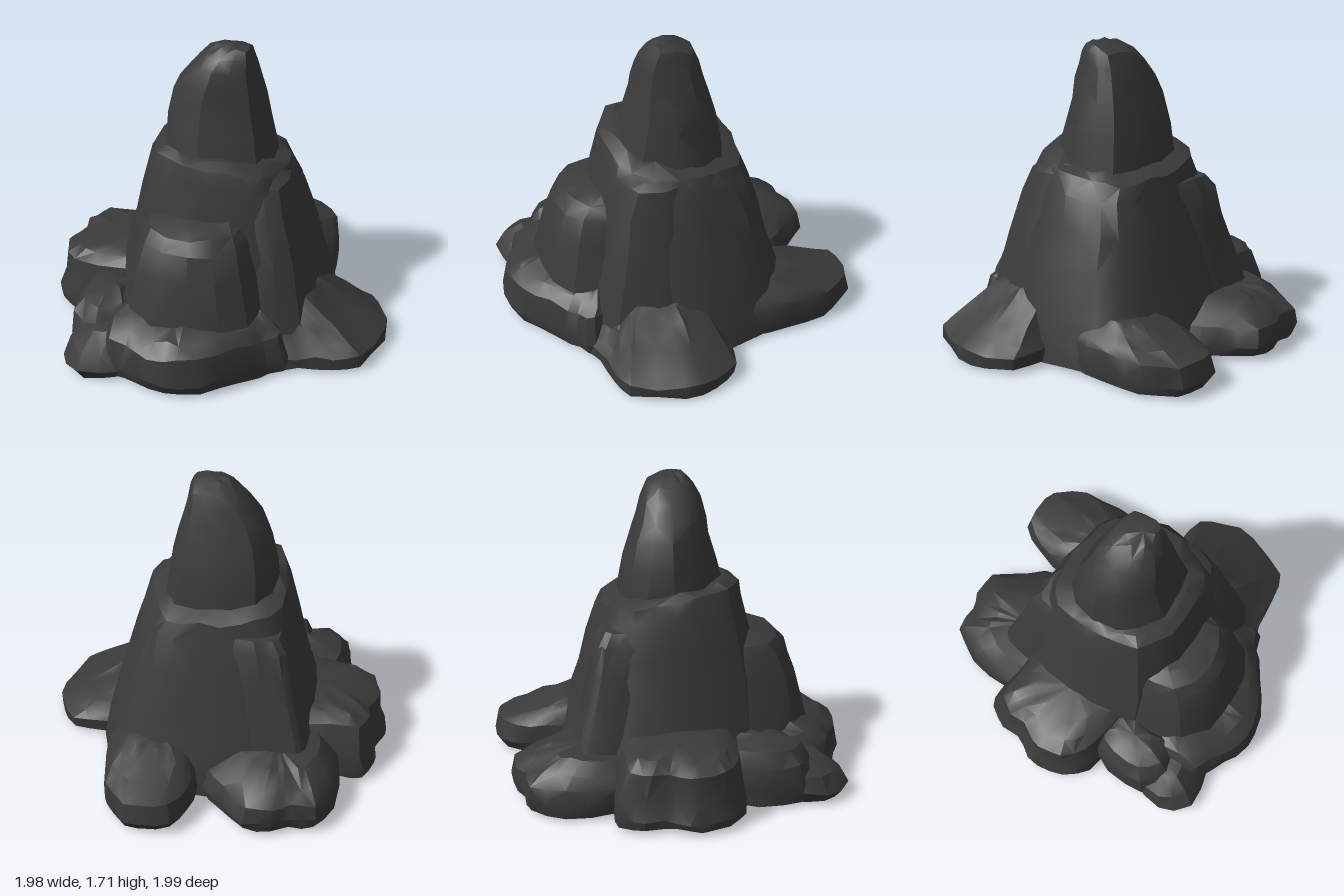
import * as THREE from 'three';
import { toCreasedNormals } from 'three/addons/utils/BufferGeometryUtils.js';

function seeded(seed) {
  let s = seed * 7919 + 17;
  return () => {
    s = (s * 16807) % 2147483647;
    return s / 2147483647;
  };
}

// Blocky round plan, used where a rock has no special footprint
const BLOCK = [[1, 0.1], [0.93, -0.5], [0.7, -0.88], [0.2, -1], [-0.4, -0.97], [-0.8, -0.8],
  [-1, -0.3], [-0.97, 0.3], [-0.78, 0.75], [-0.3, 1], [0.3, 0.97], [0.78, 0.74]];

// Loft a plan outline (counterclockwise from above) through levels [y, xMin, xMax, zMin, zMax].
// tilt leans the top: extra height per unit of x and z.
function rockGeometry(outline, levels, { sides = 20, seed = 1, rough = 0.02, tilt = [0, 0] }) {
  const rand = seeded(seed);
  for (let i = 0; i < 5; i++) rand();
  const curve = new THREE.CatmullRomCurve3(
    outline.map(([x, z]) => new THREE.Vector3(x, 0, z)), true, 'catmullrom', 0.35);
  const plan = curve.getPoints(sides).slice(0, sides);
  const box = new THREE.Box3().setFromPoints(plan);
  const size = box.getSize(new THREE.Vector3());
  const ribs = plan.map(() => rand());
  const y0 = levels[0][0], yTop = levels[levels.length - 1][0];
  const pos = [], index = [];

  levels.forEach(([y, xa, xb, za, zb], k) => {
    const cx = (xa + xb) / 2, cz = (za + zb) / 2;
    const f = (y - y0) / (yTop - y0);
    plan.forEach((p, i) => {
      let x = xa + (p.x - box.min.x) / size.x * (xb - xa);
      let z = za + (p.z - box.min.z) / size.z * (zb - za);
      const r = Math.hypot(x - cx, z - cz) || 1;
      const push = 1 + rough * (0.4 - 0.9 * ribs[i] + 0.9 * (rand() - 0.5)) / r;
      x = cx + (x - cx) * push;
      z = cz + (z - cz) * push;
      const lift = f * (tilt[0] * (x - cx) + tilt[1] * (z - cz));
      const wobble = (rand() - 0.5) * rough * (k === 0 ? 0.8 : 1.3);
      pos.push(x, Math.max(0, y + lift + wobble), z);
    });
  });

  const n = levels.length;
  for (let k = 0; k < n - 1; k++) {
    for (let i = 0; i < sides; i++) {
      const j = (i + 1) % sides;
      const a = k * sides + i, b = k * sides + j, c = a + sides, d = b + sides;
      if ((i + k) % 2) index.push(a, b, c, b, d, c);
      else index.push(a, b, d, a, d, c);
    }
  }
  // Caps
  const centre = (l, dy) => pos.push((l[1] + l[2]) / 2, l[0] + dy, (l[3] + l[4]) / 2);
  const bottom = n * sides;
  centre(levels[0], 0);
  centre(levels[n - 1], 0.012);
  for (let i = 0; i < sides; i++) {
    const j = (i + 1) % sides, t = (n - 1) * sides;
    index.push(bottom, j, i, bottom + 1, t + i, t + j);
  }
  const g = new THREE.BufferGeometry();
  g.setAttribute('position', new THREE.Float32BufferAttribute(pos, 3));
  g.setIndex(index);
  return toCreasedNormals(g, 0.5);
}

export function createModel() {
  const group = new THREE.Group();
  const stone = new THREE.MeshStandardMaterial({ color: 0x3a3a3a });
  stone.name = 'dark stone';

  const add = (name, outline, levels, options) => {
    const mesh = new THREE.Mesh(rockGeometry(outline, levels, options), stone);
    mesh.name = name;
    group.add(mesh);
  };

  // Tall central mass
  add('spire', BLOCK, [
    [0.95, -0.35, 0.32, -0.28, 0.33], [1.1, -0.345, 0.29, -0.265, 0.31],
    [1.25, -0.33, 0.26, -0.235, 0.265], [1.4, -0.295, 0.225, -0.2, 0.225],
    [1.5, -0.25, 0.2, -0.165, 0.21], [1.6, -0.18, 0.175, -0.135, 0.185],
    [1.67, -0.11, 0.16, -0.1, 0.15], [1.712, -0.04, 0.14, -0.03, 0.11],
  ], { sides: 13, seed: 3, rough: 0.014 });
  add('body', BLOCK, [
    [0.03, -0.68, 0.66, -0.64, 0.6], [0.15, -0.66, 0.65, -0.625, 0.58],
    [0.3, -0.62, 0.61, -0.59, 0.56], [0.6, -0.53, 0.535, -0.505, 0.52],
    [0.8, -0.475, 0.465, -0.455, 0.47], [0.98, -0.43, 0.415, -0.39, 0.425],
    [1.07, -0.4, 0.36, -0.365, 0.4], [1.11, -0.34, 0.27, -0.26, 0.33],
  ], { sides: 24, seed: 8, rough: 0.025, tilt: [-0.1, 0.13] });

  // Buttresses leaning on the body
  add('frontButtress', BLOCK, [
    [0.03, -0.54, 0.45, 0, 0.83], [0.35, -0.48, 0.36, 0, 0.79], [0.6, -0.42, 0.29, 0, 0.73],
    [0.74, -0.38, 0.25, 0, 0.68], [0.81, -0.35, 0.21, 0, 0.62], [0.84, -0.28, 0.16, 0.05, 0.52],
  ], { sides: 15, seed: 5, rough: 0.016 });
  add('rightFrontRidge', BLOCK, [
    [0.03, 0.1, 0.64, -0.15, 0.6], [0.3, 0.12, 0.59, -0.12, 0.54], [0.6, 0.12, 0.52, -0.1, 0.46],
    [0.85, 0.1, 0.44, -0.08, 0.4], [1.0, 0.08, 0.4, -0.05, 0.33], [1.05, 0.08, 0.33, 0, 0.26],
  ], { sides: 12, seed: 11, rough: 0.02 });
  // Squarer rear left corner
  add('leftRearRidge', [[1, 0], [0.9, -0.8], [0.3, -1], [-0.4, -1], [-0.82, -0.94], [-0.95, -0.75],
    [-1, -0.2], [-0.9, 0.5], [0, 1], [0.8, 0.8]], [
    [0.03, -0.64, -0.1, -0.62, -0.1], [0.4, -0.55, -0.1, -0.53, -0.1],
    [0.7, -0.47, -0.1, -0.455, -0.1], [0.88, -0.435, -0.08, -0.42, -0.08],
    [0.95, -0.39, -0.08, -0.38, -0.08],
  ], { sides: 16, seed: 14, rough: 0.016 });

  // Ring of low boulders around the foot
  add('frontLedge', [[0.5, 0.58], [0.3, 0.35], [-0.4, 0.3], [-0.54, 0.6], [-0.46, 0.87],
    [-0.25, 0.95], [-0.04, 1], [0.2, 0.86], [0.4, 0.68]], [
    [0.03, -0.55, 0.5, 0.3, 0.97], [0.1, -0.55, 0.5, 0.3, 1],
    [0.25, -0.52, 0.45, 0.3, 0.97], [0.31, -0.48, 0.4, 0.3, 0.9],
    [0.35, -0.42, 0.33, 0.35, 0.78],
  ], { sides: 22, seed: 21, rough: 0.025 });
  add('leftBoulder', [[-0.3, 0], [-0.4, -0.38], [-0.7, -0.38], [-0.88, -0.38], [-0.94, -0.25],
    [-0.95, -0.08], [-1, 0.04], [-0.97, 0.2], [-0.88, 0.33], [-0.7, 0.38], [-0.4, 0.38]], [
    [0.04, -0.985, -0.3, -0.38, 0.38], [0.09, -0.995, -0.3, -0.38, 0.38],
    [0.2, -0.955, -0.3, -0.37, 0.365], [0.36, -0.945, -0.3, -0.31, 0.33],
    [0.405, -0.87, -0.3, -0.25, 0.28], [0.425, -0.76, -0.32, -0.18, 0.22],
  ], { sides: 21, seed: 25, rough: 0.015, tilt: [0.08, 0] });
  add('frontLeftBoulder', BLOCK, [
    [0.03, -0.75, -0.34, 0.25, 0.76], [0.14, -0.76, -0.34, 0.25, 0.77],
    [0.25, -0.74, -0.37, 0.27, 0.73], [0.33, -0.69, -0.42, 0.3, 0.67],
    [0.36, -0.62, -0.46, 0.35, 0.58],
  ], { sides: 14, seed: 31, rough: 0.02 });
  add('frontLeftPebble', BLOCK, [
    [0.015, -0.7, -0.36, 0.58, 0.92], [0.08, -0.74, -0.34, 0.56, 0.95],
    [0.17, -0.7, -0.37, 0.56, 0.9], [0.25, -0.62, -0.43, 0.58, 0.8],
  ], { sides: 12, seed: 34, rough: 0.02 });
  add('rightBoulder', [[0.99, 0.19], [0.95, 0], [0.86, -0.14], [0.66, -0.15], [0.45, -0.1],
    [0.35, 0.45], [0.42, 0.62], [0.56, 0.57], [0.75, 0.53], [0.9, 0.48]], [
    [0.03, 0.35, 0.985, -0.15, 0.62], [0.1, 0.35, 0.985, -0.15, 0.62],
    [0.15, 0.35, 0.9, -0.12, 0.58], [0.22, 0.35, 0.8, -0.08, 0.52],
    [0.3, 0.35, 0.67, -0.04, 0.47], [0.36, 0.37, 0.59, 0.02, 0.4],
  ], { sides: 20, seed: 37, rough: 0.018 });
  add('rearRightBoulder', [[0.58, -0.6], [0.53, -0.84], [0.36, -1], [0.15, -0.97], [0.05, -0.82],
    [0.03, -0.6], [0.1, -0.35], [0.58, -0.3]], [
    [0.03, 0.04, 0.58, -0.96, -0.25], [0.09, 0.03, 0.585, -1, -0.25],
    [0.2, 0.05, 0.575, -0.975, -0.25], [0.245, 0.08, 0.55, -0.84, -0.27],
    [0.28, 0.11, 0.51, -0.72, -0.3], [0.32, 0.16, 0.45, -0.62, -0.33],
  ], { sides: 18, seed: 41, rough: 0.015 });
  add('rearLeftBoulder', [[0.02, -0.6], [-0.1, -0.74], [-0.26, -0.9], [-0.42, -0.9],
    [-0.52, -0.85], [-0.66, -0.83], [-0.76, -0.64], [-0.76, -0.36], [-0.6, -0.22], [-0.1, -0.3]], [
    [0.03, -0.75, 0.01, -0.89, -0.22], [0.1, -0.765, 0.02, -0.91, -0.22],
    [0.19, -0.75, -0.02, -0.89, -0.22], [0.25, -0.71, -0.08, -0.81, -0.24],
    [0.31, -0.64, -0.17, -0.69, -0.28],
  ], { sides: 20, seed: 45, rough: 0.018 });

  return group;
}
